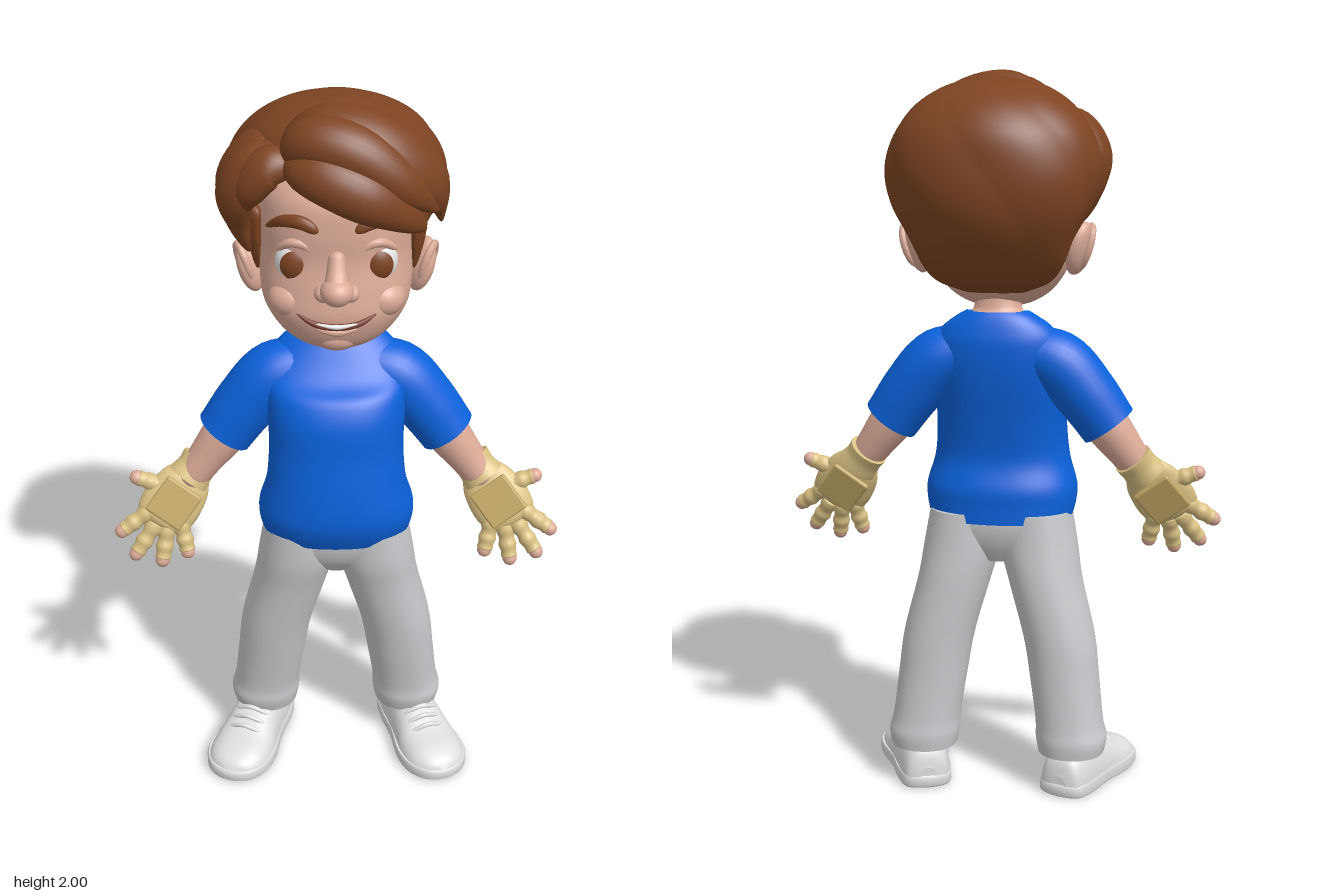
import * as THREE from 'three';
import { RoundedBoxGeometry } from 'three/addons/geometries/RoundedBoxGeometry.js';

const V = (x, y, z) => new THREE.Vector3(x, y, z);
const mat = (name, color) => Object.assign(new THREE.MeshStandardMaterial({ color }), { name });
const TAU = Math.PI * 2;
const spow = (v, p) => Math.sign(v) * Math.abs(v) ** p;

// Smooth interpolation through a list of numbers, u in 0..1
function spline(a, u) {
  const t = u * (a.length - 1), i = Math.min(Math.floor(t), a.length - 2), f = t - i;
  const p1 = a[i], p2 = a[i + 1], p0 = a[i - 1] ?? p1, p3 = a[i + 2] ?? p2;
  return p1 + 0.5 * f * (p2 - p0 + f * (2 * p0 - 5 * p1 + 4 * p2 - p3 + f * (3 * (p1 - p2) + p3 - p0)));
}
const column = (rows, k, u) => spline(rows.map(r => r[k]), u);

// Skin over closed rings, with flat caps on both ends
function skin(rings) {
  const m = rings[0].length;
  const mid = r => { const c = V(0, 0, 0); r.forEach(p => c.add(p)); c.divideScalar(m); return r.map(() => c); };
  const first = rings[0], last = rings[rings.length - 1];
  const all = [mid(first), first, ...rings, last, mid(last)], idx = [];
  for (let i = 0; i < all.length - 1; i++) for (let j = 0; j < m; j++) {
    const a = i * m + j, b = i * m + (j + 1) % m;
    idx.push(a, b, b + m, a, b + m, a + m);
  }
  const g = new THREE.BufferGeometry().setFromPoints(all.flat());
  g.setIndex(idx);
  g.computeVertexNormals();
  return g;
}

// Upright body: rows of [y, centre x, centre z, half width, half depth]
function loft(rows, { p = 2, n = 40, m = 40, ripple = () => 1, bend = v => v } = {}) {
  const rings = [];
  for (let i = 0; i <= n; i++) {
    const [y, cx, cz, rx, rz] = [0, 1, 2, 3, 4].map(k => column(rows, k, i / n));
    rings.push(Array.from({ length: m }, (_, j) => {
      const a = j / m * TAU, s = ripple(a, y);
      return bend(V(cx + rx * s * spow(Math.sin(a), 2 / p), y, cz + rz * s * spow(Math.cos(a), 2 / p)));
    }));
  }
  return skin(rings);
}

// Limb or lock along a path: varying radius, optional flattening and rounded ends
function tube(pts, radii, { flat = 1, ref = () => V(0, 0.2, 1), caps = 0.15, n = 24, m = 16 } = {}) {
  const curve = new THREE.CatmullRomCurve3(pts.map(q => V(...q))), rings = [];
  for (let i = 0; i <= n; i++) {
    const u = (1 - Math.cos(Math.PI * i / n)) / 2, c = curve.getPoint(u), t = curve.getTangent(u);
    const nor = ref(c).clone().addScaledVector(t, -ref(c).dot(t)).normalize();
    const side = nor.clone().cross(t);
    const f = caps ? Math.min(1, u / caps, (1 - u) / caps) : 1;
    const r = Math.max(0.0005, spline(radii, u) * Math.sqrt(1 - (1 - f) ** 2));
    rings.push(Array.from({ length: m }, (_, j) => c.clone()
      .addScaledVector(side, Math.cos(j / m * TAU) * r)
      .addScaledVector(nor, Math.sin(j / m * TAU) * r * flat)));
  }
  return skin(rings);
}

function ball(x, y, z, rx, ry, rz, rotY = 0, rotZ = 0) {
  return new THREE.SphereGeometry(1, 28, 20).scale(rx, ry, rz).rotateZ(rotZ).rotateY(rotY).translate(x, y, z);
}

function mirrored(g) {
  const c = g.clone().scale(-1, 1, 1), ix = c.index.array;
  for (let i = 0; i < ix.length; i += 3) [ix[i], ix[i + 1]] = [ix[i + 1], ix[i]];
  return c;
}

export function createModel() {
  const root = new THREE.Group();
  root.name = 'boy';
  const M = {
    skin: mat('skin', 0xdcab98), hair: mat('brown hair', 0x7e4422), shirt: mat('blue cloth', 0x0b62dc),
    trousers: mat('grey cloth', 0xc9cacd), shoe: mat('white leather', 0xdededf), glove: mat('tan glove', 0xd9c183),
    pad: mat('dark tan pad', 0xc4a966), white: mat('eye white', 0xeeeeee), mouth: mat('mouth line', 0x7c4034),
  };
  const add = (name, g, m) => { const o = new THREE.Mesh(g, m); o.name = name; root.add(o); };
  const pair = (name, g, m) => { add('left ' + name, g, m); add('right ' + name, mirrored(g), m); };

  // Head and neck
  const headRows = [[1.368, 0, 0.09, 0.04, 0.05], [1.385, 0, 0.08, 0.095, 0.1], [1.42, 0, 0.073, 0.145, 0.135],
    [1.48, 0, 0.063, 0.184, 0.163], [1.54, 0, 0.045, 0.195, 0.175], [1.62, 0, 0.018, 0.196, 0.187],
    [1.7, 0, 0.005, 0.2, 0.2], [1.78, 0, 0, 0.19, 0.192], [1.84, 0, -0.02, 0.15, 0.15], [1.88, 0, -0.03, 0.07, 0.07]];
  add('head', loft(headRows, { p: 2.3, n: 50, m: 56 }), M.skin);
  const faceZ = (x, y) => {
    let u = 0;
    while (u < 1 && column(headRows, 0, u) < y) u += 0.004;
    return column(headRows, 2, u) + column(headRows, 4, u) * (1 - (Math.abs(x) / column(headRows, 3, u)) ** 2.3) ** (1 / 2.3);
  };
  const onFace = (list, off) => list.map(([x, y]) => [x, y, faceZ(x, y) + off]);
  // Collar dips towards the front
  const dip = v => { v.y -= 0.5 * Math.max(0, v.z) * THREE.MathUtils.smoothstep(v.y, 1.2, 1.34); return v; };
  add('neck', loft([[1.3, 0, -0.01, 0.1, 0.07], [1.35, 0, -0.01, 0.088, 0.058], [1.375, 0, 0.005, 0.066, 0.053],
    [1.45, 0, 0.02, 0.06, 0.055]], { bend: dip }), M.skin);

  // Face details
  add('nose', ball(0, 1.568, 0.235, 0.042, 0.036, 0.045), M.skin);
  add('nose bridge', tube([[0, 1.66, 0.195], [0, 1.61, 0.215], [0, 1.57, 0.235]], [0.02, 0.026, 0.034]), M.skin);
  pair('nostril', ball(0.033, 1.556, 0.218, 0.024, 0.022, 0.028), M.skin);
  add('chin', ball(0, 1.415, 0.165, 0.06, 0.038, 0.045), M.skin);
  pair('cheek', ball(0.115, 1.515, 0.15, 0.058, 0.05, 0.055), M.skin);
  const smile = [[-0.1, 1.497], [-0.055, 1.474], [0, 1.466], [0.055, 1.474], [0.1, 1.497]];
  add('mouth', tube(onFace(smile, 0.002), [0.004, 0.008, 0.009, 0.008, 0.004]), M.mouth);
  add('teeth', tube(onFace(smile.slice(1, 4).map(([x, y]) => [x, y + 0.003]), 0.007), [0.003, 0.006, 0.003]), M.white);
  add('lower lip', tube(onFace([[-0.05, 1.458], [0, 1.449], [0.05, 1.458]], 0), [0.006, 0.011, 0.006]), M.skin);
  pair('eye', ball(0.102, 1.615, 0.148, 0.052, 0.057, 0.046, 0.3), M.white);
  const iris = new THREE.SphereGeometry(1, 28, 8, 0, TAU, 0, 0.72).rotateX(Math.PI / 2)
    .scale(0.0535, 0.0585, 0.0485).rotateY(0.12).translate(0.101, 1.615, 0.148);
  pair('iris', iris, M.hair);
  pair('upper eyelid', tube([[0.048, 1.63, 0.186], [0.075, 1.668, 0.186], [0.11, 1.675, 0.18], [0.15, 1.645, 0.152]],
    [0.008, 0.012, 0.012, 0.008]), M.skin);
  pair('eyebrow', tube(onFace([[0.045, 1.712], [0.085, 1.732], [0.13, 1.728], [0.175, 1.695]], 0.004),
    [0.012, 0.017, 0.015, 0.007], { flat: 0.7 }), M.hair);
  pair('ear', ball(0.222, 1.535, -0.008, 0.03, 0.074, 0.046, 0.45, -0.28), M.skin);
  pair('ear rim', new THREE.TorusGeometry(0.032, 0.011, 8, 24).scale(1, 1.55, 1).rotateY(Math.PI / 2 - 0.4)
    .rotateZ(-0.28).translate(0.238, 1.54, 0.0), M.skin);

  // Hair: ridged cap, then swept locks
  const hairRows = [[1.42, 0, -0.055, 0.08, 0.035], [1.45, 0, -0.08, 0.15, 0.06], [1.5, 0, -0.105, 0.19, 0.085],
    [1.58, 0, -0.115, 0.225, 0.135], [1.66, 0, -0.105, 0.265, 0.175], [1.75, 0, -0.088, 0.283, 0.198],
    [1.84, 0, -0.07, 0.262, 0.2], [1.91, 0, -0.05, 0.21, 0.17], [1.96, 0, -0.03, 0.13, 0.11], [1.982, 0, -0.025, 0.04, 0.04]];
  add('hair cap', loft(hairRows, { n: 70, m: 120, ripple: (a, y) => 0.985 + 0.03 * Math.abs(Math.sin(3 * a + 9 * y)) }), M.hair);
  const outward = c => c.clone().sub(V(0, 1.7, -0.03));
  const locks = [
    ['top sweep', [[-0.13, 1.89, 0.08], [-0.02, 1.94, 0.14], [0.11, 1.91, 0.15], [0.22, 1.82, 0.13], [0.265, 1.71, 0.08]], [0.06, 0.08, 0.085, 0.065, 0.03], 0.65],
    ['fringe', [[-0.13, 1.87, 0.15], [-0.04, 1.86, 0.21], [0.07, 1.815, 0.225], [0.16, 1.755, 0.2], [0.22, 1.7, 0.16]], [0.04, 0.065, 0.07, 0.045, 0.018], 0.75],
    ['quiff', [[-0.13, 1.87, 0.14], [-0.06, 1.93, 0.17], [0.05, 1.91, 0.19], [0.16, 1.83, 0.19], [0.25, 1.74, 0.14]], [0.04, 0.062, 0.07, 0.055, 0.02], 0.8],
    ['crown sweep', [[-0.12, 1.9, 0.0], [0, 1.945, 0.01], [0.13, 1.9, 0.03], [0.24, 1.79, 0.03], [0.27, 1.66, 0.01]], [0.05, 0.07, 0.08, 0.065, 0.025], 0.6],
    ['side lock', [[-0.13, 1.87, 0.1], [-0.2, 1.85, 0.11], [-0.25, 1.77, 0.1], [-0.245, 1.69, 0.07], [-0.22, 1.6, 0.06]], [0.045, 0.065, 0.065, 0.045, 0.02], 0.7],
    ['side front lock', [[-0.1, 1.86, 0.16], [-0.16, 1.86, 0.15], [-0.215, 1.8, 0.14], [-0.235, 1.73, 0.11]], [0.03, 0.055, 0.05, 0.02], 0.75],
    ['side back lock', [[-0.13, 1.89, 0.01], [-0.2, 1.86, 0.02], [-0.26, 1.77, 0.02], [-0.25, 1.64, 0.0]], [0.05, 0.07, 0.07, 0.03], 0.6],
  ];
  for (const [name, pts, radii, flat] of locks) add(name, tube(pts, radii, { flat, ref: outward, n: 36, m: 24 }), M.hair);
  pair('sideburn', tube([[0.21, 1.74, 0.07], [0.208, 1.64, 0.065], [0.2, 1.55, 0.05]], [0.04, 0.03, 0.012],
    { flat: 0.5, ref: outward }), M.hair);

  // Shirt and sleeves
  add('shirt', loft([[0.775, 0, 0.065, 0.2, 0.133], [0.82, 0, 0.075, 0.211, 0.143], [0.87, 0, 0.08, 0.212, 0.148],
    [0.95, 0, 0.088, 0.19, 0.135], [1.05, 0, 0.075, 0.182, 0.135], [1.15, 0, 0.06, 0.186, 0.14], [1.22, 0, 0.04, 0.188, 0.13],
    [1.28, 0, 0.018, 0.178, 0.11], [1.32, 0, 0.005, 0.152, 0.09], [1.35, 0, -0.005, 0.112, 0.07], [1.365, 0, -0.01, 0.085, 0.055]],
  { p: 2.25, n: 60, m: 56, bend: dip }), M.shirt);
  pair('sleeve', tube([[0.08, 1.25, 0.005], [0.165, 1.222, 0.008], [0.24, 1.14, 0.012], [0.305, 1.05, 0.018]],
    [0.075, 0.088, 0.086, 0.08], { caps: 0, m: 28 }), M.shirt);

  // Arms and gloved hands
  pair('forearm', tube([[0.24, 1.13, 0.015], [0.3, 1.05, 0.02], [0.36, 0.97, 0.028], [0.42, 0.89, 0.042]],
    [0.06, 0.062, 0.051, 0.042], { m: 24 }), M.skin);
  const hand = (x, y) => [x, y, 0.035 + 0.33 * (0.93 - y) + 0.1 * (x - 0.45)];
  const palmNormal = V(-0.1, 0.33, 1).normalize(), ref = () => palmNormal;
  pair('glove cuff', tube([hand(0.372, 0.958), hand(0.39, 0.935), hand(0.412, 0.908)], [0.056, 0.054, 0.06],
    { flat: 0.85, ref, caps: 0, m: 24 }), M.glove);
  pair('palm', tube([hand(0.39, 0.935), hand(0.42, 0.895), hand(0.46, 0.84), hand(0.5, 0.785)], [0.05, 0.074, 0.084, 0.072],
    { flat: 0.4, ref, caps: 0.12, m: 28 }), M.glove);
  const down = V(0.6, -0.76, 0.31).addScaledVector(palmNormal, -V(0.6, -0.76, 0.31).dot(palmNormal)).normalize();
  const basis = new THREE.Matrix4().makeBasis(down.clone().cross(palmNormal), down, palmNormal);
  for (const [name, off] of [['palm pad', 0.031], ['back of hand pad', -0.031]]) {
    const at = V(...hand(0.452, 0.85)).addScaledVector(palmNormal, off);
    const g = new RoundedBoxGeometry(0.115, 0.115, 0.016, 3, 0.007);
    g.applyMatrix4(basis.clone().setPosition(at));
    if (!g.index) g.setIndex([...Array(g.attributes.position.count).keys()]);
    pair(name, g, M.pad);
  }
  const fingers = [['thumb', 0.46, 0.885, 0.57, 0.926], ['index finger', 0.515, 0.83, 0.612, 0.765],
    ['middle finger', 0.5, 0.795, 0.57, 0.695], ['ring finger', 0.47, 0.785, 0.49, 0.67], ['little finger', 0.435, 0.795, 0.412, 0.69]];
  for (const [name, x0, y0, x1, y1] of fingers) {
    const at = t => hand(x0 + (x1 - x0) * t, y0 + (y1 - y0) * t);
    pair(name, tube([at(0), at(0.42), at(0.8)], [0.025, 0.026, 0.021, 0.025, 0.021, 0.023],
      { ref, caps: 0.04 }), M.glove);
    pair(name + ' tip', tube([at(0.6), at(0.8), at(1)], [0.018, 0.02, 0.018], { ref, caps: 0.35 }), M.skin);
  }

  // Trousers
  add('trouser seat', loft([[0.66, 0, 0.055, 0.06, 0.08], [0.71, 0, 0.06, 0.185, 0.11], [0.76, 0, 0.062, 0.203, 0.125],
    [0.82, 0, 0.065, 0.2, 0.128]], { p: 2.2 }), M.trousers);
  pair('trouser leg', loft([[0.11, 0.213, -0.008, 0.094, 0.096], [0.15, 0.213, -0.004, 0.101, 0.103], [0.2, 0.206, 0, 0.096, 0.1],
    [0.32, 0.19, 0.014, 0.098, 0.106], [0.44, 0.172, 0.026, 0.101, 0.114], [0.6, 0.13, 0.043, 0.104, 0.122],
    [0.7, 0.109, 0.058, 0.109, 0.127], [0.8, 0.1, 0.065, 0.1, 0.125]], { p: 2.2 }), M.trousers);

  // Shoes: rows of [z, half width, top height], turned outwards
  const place = g => g.rotateY(0.35).translate(0.222, 0, 0);
  const shoeRows = [[-0.105, 0.03, 0.06], [-0.09, 0.06, 0.11], [-0.04, 0.073, 0.135], [0.04, 0.078, 0.14], [0.1, 0.085, 0.118],
    [0.16, 0.094, 0.09], [0.22, 0.089, 0.076], [0.262, 0.062, 0.058], [0.282, 0.02, 0.035]];
  const shoeRings = Array.from({ length: 41 }, (_, i) => {
    const [z, w, h] = [0, 1, 2].map(k => column(shoeRows, k, i / 40));
    return Array.from({ length: 32 }, (_, j) => {
      const a = j / 32 * TAU;
      return V(w * spow(Math.cos(a), 0.8), 0.012 + Math.max(0, Math.sin(a)) ** 0.85 * (h - 0.012), z);
    });
  });
  pair('shoe', place(skin(shoeRings)), M.shoe);
  const outline = [[0, -0.112], [0.06, -0.095], [0.078, -0.03], [0.083, 0.06], [0.1, 0.16], [0.092, 0.225], [0.055, 0.275], [0, 0.292]];
  const loop = [...outline, ...outline.slice(1, -1).reverse().map(([x, z]) => [-x, z])];
  const curve = new THREE.CatmullRomCurve3(loop.map(([x, z]) => V(x, 0, z)), true);
  const solePts = curve.getPoints(56).slice(0, -1).reverse();
  const soleRing = (y, s) => solePts.map(p => V(p.x * s, y, (p.z - 0.09) * s + 0.09));
  // Ring order follows +y so the faces point outwards
  const ccw = THREE.ShapeUtils.area(solePts.map(p => new THREE.Vector2(p.z, p.x))) > 0;
  const soleRings = [soleRing(0, 0.96), soleRing(0.008, 1), soleRing(0.03, 1), soleRing(0.036, 0.97)];
  pair('sole', place(skin(ccw ? soleRings : soleRings.map(r => r.reverse()))), M.shoe);
  for (let i = 0; i < 3; i++) {
    const z = 0.09 + i * 0.028, y = 0.127 - i * 0.013;
    pair('lace ' + (i + 1), place(tube([[-0.05, y - 0.018, z], [0, y + 0.002, z + 0.008], [0.05, y - 0.018, z]], [0.006, 0.007, 0.006])), M.shoe);
  }
  return root;
}
